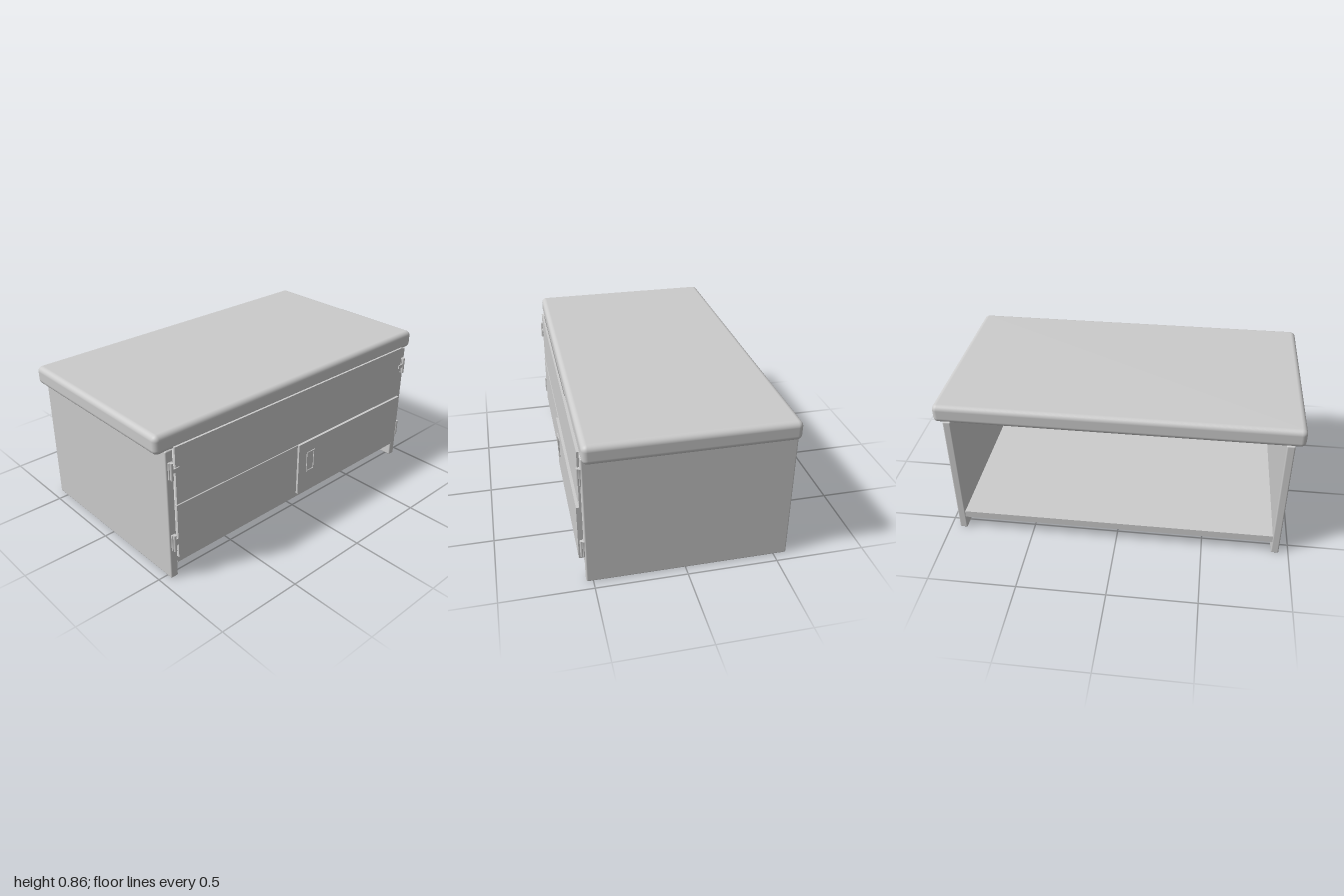
import * as THREE from 'three';
import { RoundedBoxGeometry } from 'three/addons/geometries/RoundedBoxGeometry.js';

export function createModel() {
  const model = new THREE.Group();
  model.name = 'cabinet';
  const material = new THREE.MeshStandardMaterial({ color: 0xcccccc });

  // Box given by its limits on each axis; r > 0 rounds the edges
  function block(name, [x0, x1], [y0, y1], [z0, z1], r = 0, parent = model) {
    const size = [x1 - x0, y1 - y0, z1 - z0];
    const geometry = r > 0
      ? new RoundedBoxGeometry(...size, 4, r)
      : new THREE.BoxGeometry(...size);
    const mesh = new THREE.Mesh(geometry, material);
    mesh.name = name;
    mesh.position.set((x0 + x1) / 2, (y0 + y1) / 2, (z0 + z1) / 2);
    parent.add(mesh);
    return mesh;
  }

  // Carcass: thick rounded top, two end panels, bottom shelf, open at -x
  block('top', [-0.57, 0.535], [0.757, 0.863], [-1, 1], 0.03);
  block('endPanelFront', [-0.572, 0.537], [0, 0.768], [0.9, 0.945], 0.008);
  block('endPanelBack', [-0.572, 0.537], [0, 0.768], [-0.945, -0.9], 0.008);
  block('bottomShelf', [-0.57, 0.535], [0.083, 0.125], [-0.902, 0.902]);

  // Doors on the +x side
  block('upperDoor', [0.537, 0.549], [0.45, 0.78], [-0.897, 0.897]);
  block('lowerDoorFixed', [0.537, 0.552], [0.125, 0.447], [0.03, 0.9]);
  block('lowerDoorSliding', [0.537, 0.565], [0.125, 0.45], [-0.895, 0.03]);

  // Recessed finger pull: a thin rectangular frame on the sliding door
  const frame = new THREE.Shape();
  frame.moveTo(-0.033, -0.066);
  frame.lineTo(0.033, -0.066);
  frame.lineTo(0.033, 0.066);
  frame.lineTo(-0.033, 0.066);
  frame.closePath();
  const hole = new THREE.Path();
  hole.moveTo(-0.024, -0.057);
  hole.lineTo(-0.024, 0.057);
  hole.lineTo(0.024, 0.057);
  hole.lineTo(0.024, -0.057);
  hole.closePath();
  frame.holes.push(hole);
  const pull = new THREE.Mesh(
    new THREE.ExtrudeGeometry(frame, { depth: 0.006, bevelEnabled: false }), material);
  pull.name = 'fingerPull';
  pull.rotation.y = Math.PI / 2;
  pull.position.set(0.564, 0.315, -0.068);
  model.add(pull);

  // Hinges at both ends: plate, knuckle and a short strap reaching to the door
  for (const side of [1, -1]) {
    const lowY = side > 0 ? 0.225 : 0.21;
    for (const y of [0.655, lowY]) {
      const hinge = new THREE.Group();
      hinge.name = 'hinge';
      const span = (a, b) => [Math.min(a * side, b * side), Math.max(a * side, b * side)];
      block('hingePlate', [0.535, 0.546], [y - 0.05, y + 0.05], span(0.908, 0.935), 0.004, hinge);
      const knuckle = new THREE.Mesh(new THREE.CylinderGeometry(0.009, 0.009, 0.098, 16), material);
      knuckle.name = 'hingeKnuckle';
      knuckle.position.set(0.55, y, 0.921 * side);
      hinge.add(knuckle);
      if (y > 0.5) block('hingeStrap', [0.546, 0.555], [y - 0.01, y + 0.012], span(0.875, 0.921), 0, hinge);
      else block('hingeStrap', [0.54, 0.55], [y - 0.02, y + 0.02], span(0.89, 0.921), 0, hinge);
      model.add(hinge);
    }
  }
  return model;
}
